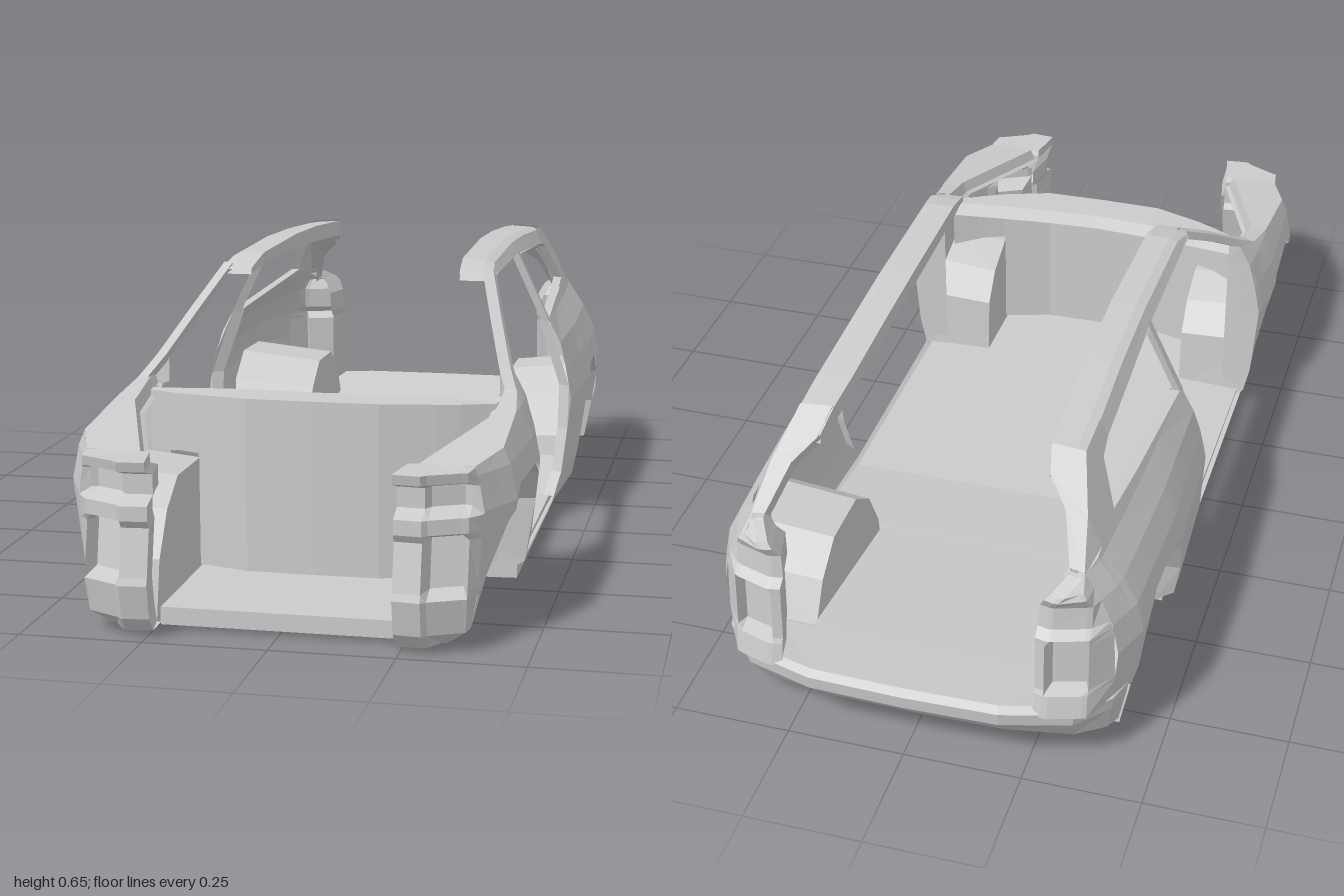
import * as THREE from 'three';

const material = new THREE.MeshStandardMaterial({ color: 0xcccccc, flatShading: true, side: THREE.DoubleSide });

// Piecewise-linear lookup in a table of [t, value] pairs
function at(table, t) {
  if (t <= table[0][0]) return table[0][1];
  for (let i = 1; i < table.length; i++) {
    const [a, va] = table[i - 1], [b, vb] = table[i];
    if (t <= b) return va + (vb - va) * (t - a) / (b - a);
  }
  return table[table.length - 1][1];
}

// Surface through rows of [x, y, z] points
function loft(rows) {
  const n = rows[0].length, index = [];
  for (let i = 0; i < rows.length - 1; i++) {
    for (let j = 0; j < n - 1; j++) {
      const a = i * n + j, b = a + n;
      index.push(a, b, a + 1, a + 1, b, b + 1);
    }
  }
  const g = new THREE.BufferGeometry();
  g.setAttribute('position', new THREE.Float32BufferAttribute(rows.flat(2), 3));
  g.setIndex(index);
  g.computeVertexNormals();
  return g;
}

// Half width of the body: side profile by height, scaled along the length
const profile = [[0, 0.37], [0.04, 0.43], [0.1, 0.443], [0.27, 0.457], [0.34, 0.443], [0.4, 0.42],
  [0.455, 0.385], [0.615, 0.31], [0.645, 0.295]];
const lowWidth = [[-0.96, 0.75], [-0.88, 0.91], [-0.8, 0.98], [-0.5, 1], [-0.2, 0.97], [-0.11, 0.96],
  [0.4, 0.96], [0.43, 0.98], [0.55, 1.01], [0.8, 0.985], [0.905, 0.88]];
const highWidth = [[-0.96, 0.8], [-0.85, 0.94], [-0.6, 0.98], [-0.2, 1], [0.5, 1], [0.8, 0.97], [0.905, 0.88]];
function bodyX(z, y) {
  const k = THREE.MathUtils.clamp((y - 0.34) / 0.115, 0, 1);
  return at(profile, y) * THREE.MathUtils.lerp(at(lowWidth, z), at(highWidth, z), k);
}

// Stations along z where any table bends
function stations(z0, z1, ...tables) {
  const zs = tables.flat().map(p => p[0]).filter(z => z > z0 && z < z1);
  return [...new Set([z0, ...zs, z1])].sort((a, b) => a - b);
}

// Outer skin between a lower and an upper edge line, creased at the profile heights
function skin(z0, z1, low, high) {
  return loft(stations(z0, z1, low, high, lowWidth).map(z => {
    const a = at(low, z), b = at(high, z);
    return [...profile.map(p => p[0]), 1].map(level => {
      const y = THREE.MathUtils.clamp(level, a, b);
      return [bodyX(z, y), y, z];
    });
  }));
}

export function createModel() {
  const model = new THREE.Group();
  const add = (name, geometry) => {
    const mesh = new THREE.Mesh(geometry, material);
    mesh.name = name;
    model.add(mesh);
  };
  const addPair = (name, geometry) => {
    add(name + 'Left', geometry);
    const g = geometry.clone().scale(-1, 1, 1);
    const ix = g.index.array;
    for (let i = 0; i < ix.length; i += 3) [ix[i], ix[i + 1]] = [ix[i + 1], ix[i]];
    g.computeVertexNormals();
    add(name + 'Right', g);
  };

  const frontArch = [[0.415, 0], [0.425, 0.18], [0.48, 0.25], [0.57, 0.29], [0.74, 0.29],
    [0.82, 0.235], [0.88, 0.14], [0.905, 0.01]];
  const rearArch = [[-0.83, 0.04], [-0.82, 0.14], [-0.77, 0.23], [-0.69, 0.29], [-0.55, 0.29],
    [-0.47, 0.23], [-0.42, 0.13], [-0.4, 0.01]];

  // Front fender with hood shelf and gutter
  const fenderTop = [[0.415, 0.45], [0.5, 0.42], [0.6, 0.4], [0.905, 0.357]];
  const hoodEdge = [[0.5, 0.36], [0.62, 0.355], [0.905, 0.255]];
  addPair('frontFender', skin(0.415, 0.905, frontArch, fenderTop));
  addPair('hoodShelf', loft(stations(0.47, 0.905, fenderTop, hoodEdge, highWidth).map(z => {
    const y = at(fenderTop, z), x = at(hoodEdge, z);
    return [[bodyX(z, y), y, z], [x + 0.02, y, z], [x + 0.01, y - 0.025, z], [x, y - 0.03, z]];
  })));

  // Front corner: brow, recessed headlight, vent and bumper end; [y, nose z, vent recess]
  const nose = [[0.01, 0.96, 0], [0.04, 0.985, 0], [0.11, 1, 0], [0.125, 0.995, 0.04], [0.22, 0.975, 0.04],
    [0.235, 0.985, 0], [0.265, 0.985, 0], [0.28, 0.945, 0.01], [0.32, 0.945, 0.01], [0.335, 0.995, 0], [0.355, 1, 0]];
  const noseRows = nose.map(([y, z, r]) => {
    const x = bodyX(0.905, y);
    return [[0.255, y, z - 0.09], [0.24, y, z - 0.005], [0.295, y, z], [0.305, y, z - 0.01 - r],
      [Math.min(0.365, x - 0.015), y, z - 0.04 - r], [Math.min(0.378, x - 0.005), y, z - 0.045], [x, y, 0.905]];
  });
  noseRows.push([0.255, 0.255, 0.28, 0.3, 0.33, 0.36, bodyX(0.905, 0.357)].map(x => [x, 0.357, 0.905]));
  addPair('frontCorner', loft(noseRows));
  addPair('frontCornerUnderside', loft([noseRows[0], noseRows[0].map(p => [p[0], 0.012, 0.9])]));

  // Door frame: jambs and sill
  addPair('frontDoorJamb', loft([0, 0.04, 0.1, 0.27, 0.34, 0.4, 0.45].map(y =>
    [[bodyX(0.415, y), y, 0.415], [0.36, y, 0.42]])));
  addPair('kickPanel', loft([0.285, 0.4].map(y => [[0.36, y, 0.42], [0.37, y, 0.525]])));
  addPair('rearDoorJamb', loft([[0.05, -0.11], [0.1, -0.15], [0.2, -0.18], [0.3, -0.195], [0.455, -0.205]].map(([y, z]) =>
    [[bodyX(z, y), y, z], [bodyX(z, y) - 0.025, y, z - 0.015]])));
  addPair('sill', skin(-0.12, 0.415, [[0, 0]], [[0, 0.04]]));

  // Rear quarter panel below the window line
  const quarterLow = [[-0.88, 0.15], [-0.831, 0.15], ...rearArch.slice(1), [-0.11, 0.005]];
  const quarterTop = [[-0.88, 0.455], [-0.7, 0.485], [-0.21, 0.455], [-0.195, 0.3], [-0.18, 0.2], [-0.15, 0.1], [-0.11, 0.045]];
  addPair('rearQuarter', skin(-0.88, -0.11, quarterLow, quarterTop));

  // Rear pillar and window pillar
  const pillarLow = [[-0.88, 0.455], [-0.7, 0.485], [-0.65, 0.57], [-0.6, 0.585]];
  const pillarTop = [[-0.88, 0.46], [-0.8, 0.535], [-0.7, 0.615], [-0.6, 0.622]];
  addPair('rearPillar', skin(-0.88, -0.6, pillarLow, pillarTop));
  addPair('rearPillarFlange', loft([[-0.7, 0.615, 0.23], [-0.755, 0.572, 0.245], [-0.8, 0.535, 0.285], [-0.88, 0.46, 0.315]].map(([z, y, inner]) => {
    const x = bodyX(z, y);
    return [[x, y, z], [inner, y + 0.005, z], [inner, y - 0.02, z + 0.02], [x - 0.02, y - 0.03, z + 0.03]];
  })));
  addPair('middlePillar', loft([0.45, 0.53, 0.615].map(y => {
    const x = bodyX(-0.21, y);
    return [[x - 0.02, y, -0.215], [x, y, -0.205], [x, y, -0.225], [x - 0.02, y, -0.215]];
  })));
  // Return around the rear side window
  const windowLine = [[-0.222, 0.455], [-0.7, 0.485], [-0.65, 0.57], [-0.6, 0.585], [-0.222, 0.608]];
  addPair('rearWindowFrame', loft(windowLine.map(([z, y]) =>
    [[bodyX(z, y), y, z], [bodyX(z, y) - 0.02, y, z]])));

  // Roof rail, closed section from windscreen to tailgate: [z, lower y, upper y, inner x]
  const rail = [[0.19, 0.602, 0.612, 0.235], [0.16, 0.61, 0.622, 0.232], [0.1, 0.612, 0.637, 0.228],
    [-0.2, 0.612, 0.643, 0.222], [-0.4, 0.598, 0.636, 0.222], [-0.6, 0.585, 0.622, 0.224],
    [-0.7, 0.575, 0.613, 0.228], [-0.75, 0.56, 0.577, 0.24]];
  addPair('roofRail', loft(rail.map(([z, a, b, x]) => {
    const p = [bodyX(z, a), a, z];
    return [p, [bodyX(z, b), b - 0.006, z], [bodyX(z, b) - 0.02, b, z], [x, b + 0.003, z],
      [x, Math.max(a, b - 0.035), z], p];
  })));

  // Slanted windscreen pillar
  addPair('windscreenPillar', loft([[0.49, 0.405, 0.425], [0.43, 0.44, 0.46], [0.3, 0.523, 0.543], [0.16, 0.605, 0.625]].map(([z, a, b]) => {
    const p = [bodyX(z, a), a, z], x = bodyX(z, b);
    return [p, [x, b, z], [x - 0.022, b, z + 0.012], [x - 0.018, a, z], p];
  })));

  // Tail corner with lamp pocket and upper lip; [y, tail z, pocket depth, inner edge x]
  const tail = [[0.15, -0.975, 0, 0.265], [0.2, -0.965, 0, 0.265], [0.21, -0.96, 0.03, 0.265], [0.32, -0.955, 0.03, 0.265],
    [0.335, -0.955, 0, 0.265], [0.35, -0.935, 0, 0.265], [0.4, -0.93, 0, 0.268], [0.425, -0.945, 0, 0.28],
    [0.437, -0.94, 0, 0.29], [0.457, -0.895, 0, 0.315]];
  addPair('tailCorner', loft(tail.map(([y, z, r, inner]) => {
    const x = bodyX(-0.88, y);
    return [[x, y, -0.88], [Math.min(0.37, x - 0.005), y, Math.min(z + 0.025, -0.885)],
      [Math.min(0.36, x - 0.012), y, z + 0.02 + r], [inner + 0.03, y, z + r], [inner + 0.02, y, z],
      [inner, y, z + 0.005], [inner + 0.02, y, z + 0.08]];
  })));

  // Wheel wells: tapering arched liner and flat inner wall
  for (const [name, arch, base, mid] of [['frontWheel', frontArch, 0.005, 0.66], ['rearWheel', rearArch, 0.02, -0.615]]) {
    const inner = arch.map(([z, y]) => [0.25, Math.max(base, y * 0.93), mid + (z - mid) * 0.97]);
    addPair(name + 'Liner', loft(arch.map(([z, y], i) => [[bodyX(z, y), y, z], inner[i]])));
    addPair(name + 'InnerWall', loft(inner.map(([x, y, z]) => [[x, base, z], [x, y, z]])));
  }

  // Floor pan, notched round the wheels and rising slightly to the rear
  const half = [[0.24, 0.905], [0.25, 0.425], [0.4, 0.415], [0.4, -0.4], [0.25, -0.4], [0.25, -0.83],
    [0.385, -0.83], [0.365, -0.865], [0.3, -0.885], [0.18, -0.895]];
  const outline = [...half, ...half.map(([x, z]) => [-x, z]).reverse()];
  const floor = new THREE.ExtrudeGeometry(new THREE.Shape(outline.map(([x, z]) => new THREE.Vector2(x, -z))),
    { depth: 0.036, bevelEnabled: false }).rotateX(-Math.PI / 2);
  const pos = floor.attributes.position;
  for (let i = 0; i < pos.count; i++) {
    const z = pos.getZ(i);
    pos.setY(i, pos.getY(i) + at([[-0.9, 0.042], [-0.83, 0.034], [-0.4, 0.012], [0.42, 0], [0.905, 0.008]], z));
  }
  floor.computeVertexNormals();
  add('floor', floor);

  // Rear bumper wrapped round the tail, with a load floor sloping down to the doors
  const bumper = [[0.425, -0.83], [0.408, -0.885], [0.345, -0.955], [0.2, -0.995], [0, -1]];
  const ring = (y, sx, sz) => bumper.map(([x, z]) => [x * sx, y, -0.83 + (z + 0.83) * sz]);
  addPair('rearBumper', loft([ring(0.036, 0.9, 0.36), ring(0.052, 0.96, 0.58), ring(0.125, 0.995, 0.98),
    ring(0.155, 1.005, 1), ring(0.165, 0.985, 0.9)]));
  const across = (limit, y, z) => bumper.map(([x]) => [Math.min(x * 0.95, limit), y, z]);
  addPair('loadFloor', loft([ring(0.165, 0.985, 0.9), across(0.41, 0.145, -0.832), across(0.25, 0.145, -0.832),
    across(0.25, 0.082, -0.4), across(0.4, 0.082, -0.398), across(0.4, 0.04, -0.12)]));

  // Curved bulkhead, stepped over the wheel wells, and cowl below the windscreen
  const cowl = [[0, 0.615, 0.407, 0.04], [0.14, 0.612, 0.407, 0.04], [0.25, 0.58, 0.404, 0.04],
    [0.251, 0.58, 0.404, 0.28], [0.3, 0.56, 0.402, 0.28], [0.37, 0.525, 0.4, 0.27]];
  addPair('bulkhead', loft(cowl.map(([x, z, y, base]) => [[x, base, z], [x, y, z]])));
  addPair('cowl', loft(cowl.map(([x, z, y]) =>
    [[x, y, z], [x, y + 0.002, 0.53 - x * 0.06], [x, y - 0.025, 0.515 - x * 0.06]])));

  return model;
}
